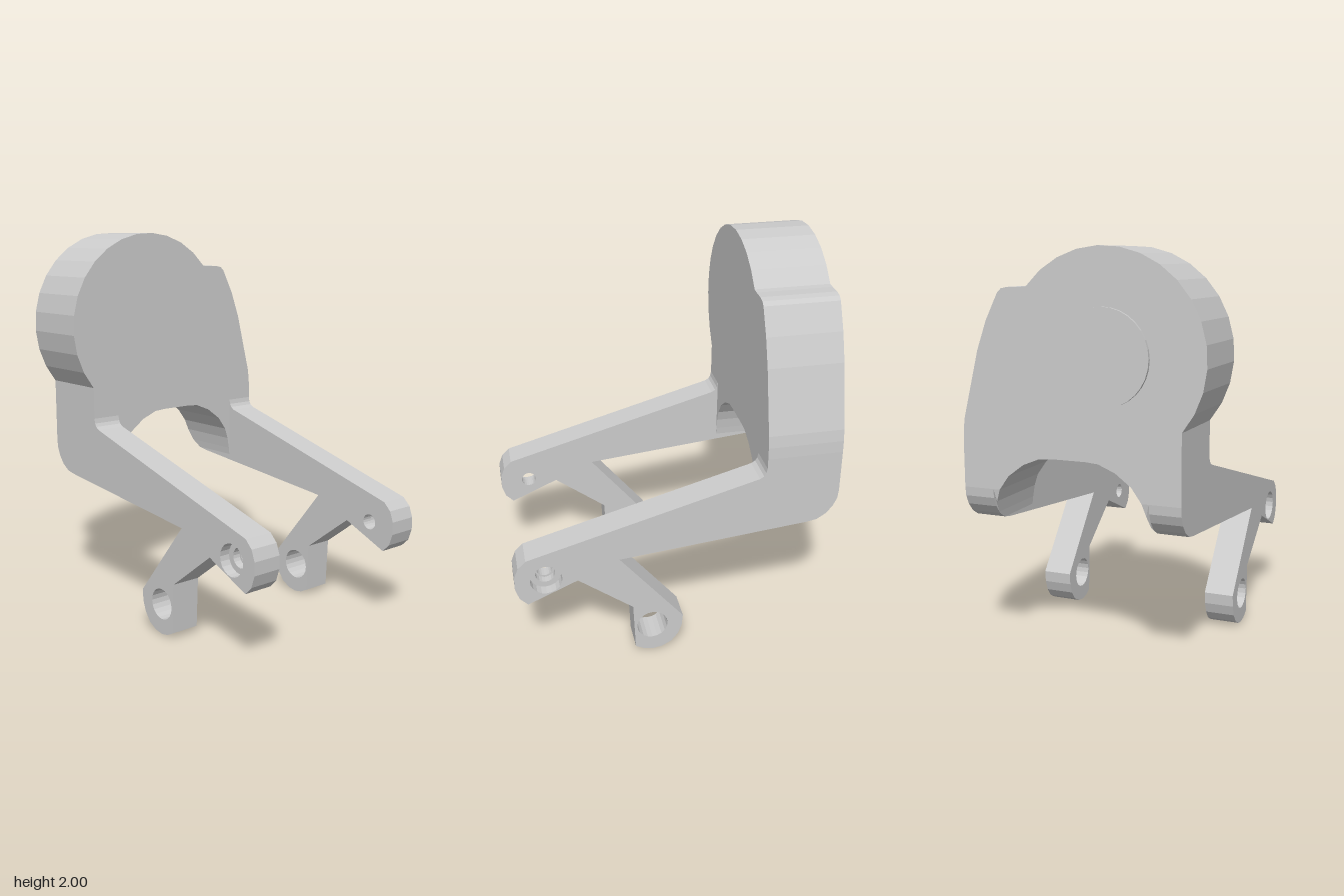
import * as THREE from 'three';

const material = new THREE.MeshStandardMaterial({ color: 0xcccccc, flatShading: true });
const BACK = -0.81, FRONT = -0.43, SEAM = 0.86; // plate depth range and the height where arms join it
const ARM_W = 0.155, INNER_L = -0.345, INNER_R = 0.455;
const MID = (INNER_L + INNER_R) / 2;

const toShape = (pts) => new THREE.Shape(pts.map(([x, y]) => new THREE.Vector2(x, y)));

function circleHole(x, y, r, n = 20) {
  const pts = [];
  for (let i = 0; i < n; i++) {
    const a = (-i / n) * Math.PI * 2;
    pts.push(new THREE.Vector2(x + r * Math.cos(a), y + r * Math.sin(a)));
  }
  return new THREE.Path(pts);
}

function extrude(shape, depth) {
  return new THREE.ExtrudeGeometry(shape, { depth, bevelEnabled: false });
}

function add(parent, name, geometry) {
  const mesh = new THREE.Mesh(geometry, material);
  mesh.name = name;
  parent.add(mesh);
  return mesh;
}

// Right half of the arch under the plate, from the crown down to the arm (x relative to MID)
const ARCH = [[0.085, 1.03], [0.15, 1.025], [0.235, 0.99], [0.315, 0.93], [0.365, SEAM]];

function plateGeometry() {
  const pts = [];
  // round head
  for (let i = 0; i <= 15; i++) {
    const a = THREE.MathUtils.degToRad(220 - (i / 15) * 181);
    pts.push([-0.125 + 0.49 * Math.cos(a), 1.51 + 0.49 * Math.sin(a)]);
  }
  // shoulder bump and sloping right flank
  pts.push([0.29, 1.815], [0.35, 1.815], [0.385, 1.808], [0.405, 1.79], [0.47, 1.66],
    [0.52, 1.52], [0.6, 1.2], [0.608, 1.14], [0.61, 1.08], [0.61, SEAM]);
  // arch
  for (const [x, y] of [...ARCH].reverse()) pts.push([MID + x, y]);
  for (const [x, y] of ARCH) pts.push([MID - x, y]);
  pts.push([-0.5, SEAM]);
  return extrude(toShape(pts), FRONT - BACK).translate(0, 0, BACK);
}

// Lower tip of the arch web, whose back follows the rounded heel of the arm
function webGeometry(side) {
  const pts = [[0.4, SEAM], [0.365, SEAM], [0.385, 0.8], [0.395, 0.74], [0.4, 0.7]]
    .map(([x, y]) => [MID + side * x, y]);
  const g = extrude(toShape(pts), FRONT - BACK).translate(0, 0, BACK);
  const p = g.attributes.position;
  for (let i = 0; i < p.count; i++) {
    const drop = Math.max(0, 0.85 - p.getY(i));
    if (p.getZ(i) < -0.6) p.setZ(i, -0.65 - Math.sqrt(Math.max(0, 0.0256 - drop * drop)));
  }
  g.computeVertexNormals();
  return g;
}

// Side profile of an arm as [z, y]
const ARM = [
  [BACK, SEAM], [FRONT, SEAM], [FRONT, 1.03], [-0.425, 1.005], [-0.415, 0.988], [-0.395, 0.975], // fillet
  [0.765, 0.65], [0.805, 0.61], [0.825, 0.555], [0.825, 0.49], [0.805, 0.43], [0.765, 0.39], // front end
  [0.515, 0.5], [0.24, 0.29], [0.228, 0.03], [0.185, 0.008], [0.14, 0], [0.09, 0.008], // lower lug
  [0.04, 0.035], [0.005, 0.08], [-0.015, 0.135], [-0.02, 0.195],
  [0.305, 0.595], [-0.65, 0.69], [-0.705, 0.7], [-0.75, 0.728], [-0.785, 0.77], [-0.805, 0.815], // heel
];

function armGeometry() {
  const shape = toShape(ARM.map(([z, y]) => [-z, y]));
  shape.holes.push(circleHole(-0.67, 0.525, 0.08), circleHole(-0.14, 0.16, 0.08));
  return extrude(shape, ARM_W).rotateY(Math.PI / 2);
}

// Fills the inner part of the upper bore, leaving a counterbore and a narrow hole
function boreGeometry() {
  const pts = [[0.04, 0], [0.08, 0], [0.08, 0.1], [0.05, 0.1], [0.05, 0.06], [0.04, 0.06], [0.04, 0]]
    .map(([r, h]) => new THREE.Vector2(r, h));
  return new THREE.LatheGeometry(pts, 20, Math.PI / 2);
}

export function createModel() {
  const group = new THREE.Group();
  group.name = 'bracket';

  add(group, 'plate', plateGeometry());
  const boss = add(group, 'backBoss', new THREE.CylinderGeometry(0.225, 0.225, 0.025, 32));
  boss.rotation.x = Math.PI / 2;
  boss.position.set(-0.125, 1.51, -0.8125);

  for (const side of [-1, 1]) {
    const name = side > 0 ? 'left' : 'right';
    const inner = side > 0 ? INNER_R : INNER_L;
    const arm = add(group, name + 'Arm', armGeometry());
    arm.position.x = side > 0 ? inner : inner - ARM_W;
    // stepped bore opens towards the outer face
    const bore = add(group, name + 'Bore', boreGeometry());
    bore.rotation.z = -side * Math.PI / 2;
    bore.position.set(inner, 0.525, 0.67);
    add(group, name + 'Web', webGeometry(side));
  }
  return group;
}
